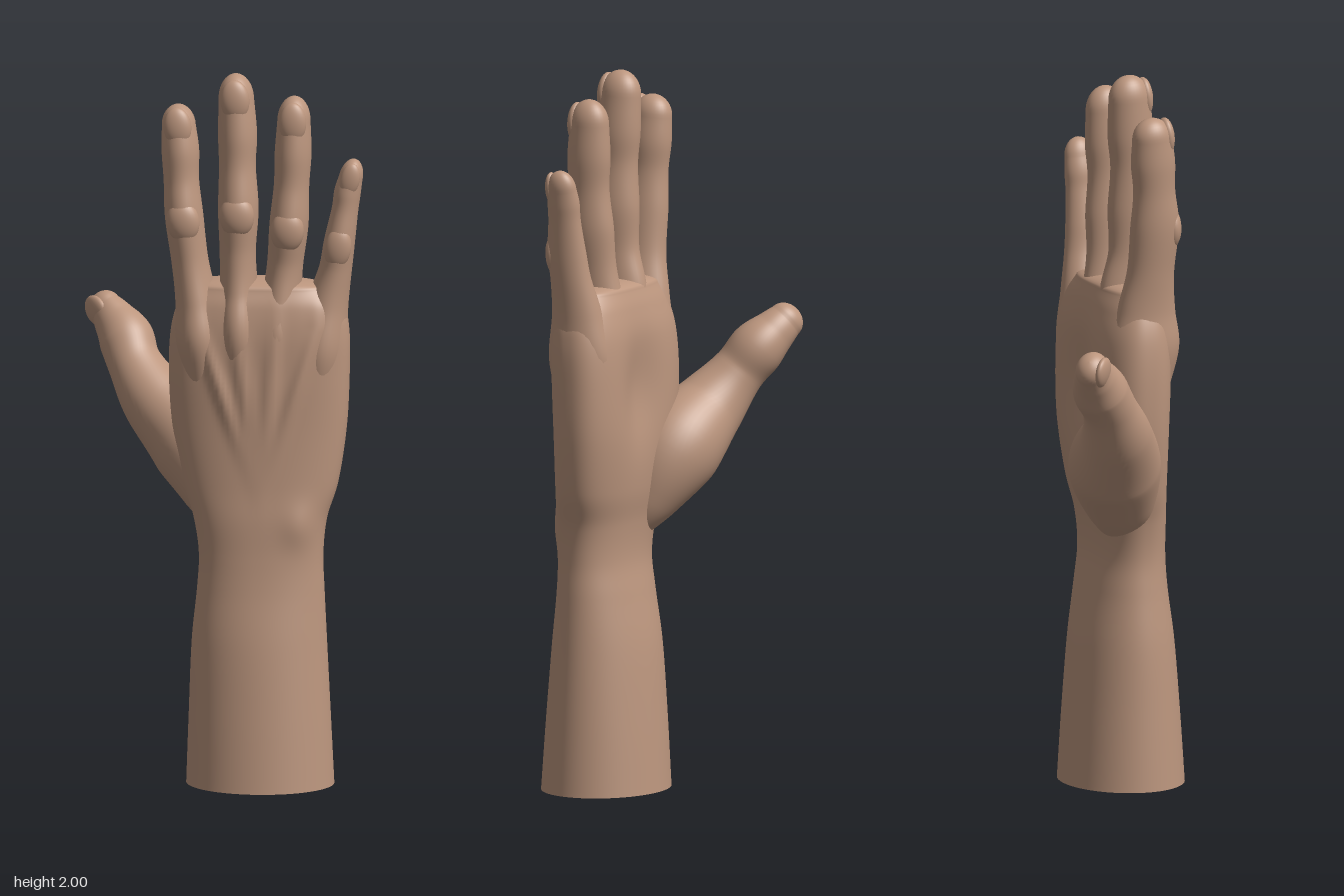
import * as THREE from 'three';

const skin = new THREE.MeshStandardMaterial({ color: 0xbc967e });
skin.name = 'skin';

const V = (x, y, z) => new THREE.Vector3(x, y, z);
const gauss = (d, w) => Math.exp(-(d * d) / (w * w));

// Local axes at one point of a path: across, along and towards the back of the hand
function frame(curve, t, across, fixedAxis) {
  const along = fixedAxis ? fixedAxis.clone() : curve.getTangent(t).normalize();
  const side = across.clone().addScaledVector(along, -across.dot(along)).normalize();
  return { centre: curve.getPoint(t), side, along, back: side.clone().cross(along) };
}

// Skin a row of sections [x, y, z, half width, half depth, squareness] and round off the end
function loft(sections, { across = V(1, 0, 0), axis, cap = 0.05, rings = 60, sides = 36, warp } = {}) {
  const path = new THREE.CatmullRomCurve3(sections.map(s => V(s[0], s[1], s[2])), false, 'catmullrom');
  const size = new THREE.CatmullRomCurve3(sections.map(s => V(s[3], s[4], s[5] ?? 2)), false, 'catmullrom');
  const pos = [], index = [], capRings = 10;
  for (let i = 0; i <= rings + capRings; i++) {
    const t = Math.min(i / rings, 1);
    const a = (Math.max(0, i - rings) / capRings) * Math.PI / 2;
    const f = frame(path, t, across, axis), r = size.getPoint(t);
    f.centre.addScaledVector(f.along, cap * Math.sin(a));
    for (let j = 0; j < sides; j++) {
      const b = (j / sides) * Math.PI * 2, e = 2 / r.z;
      const c = Math.cos(b), s = Math.sin(b);
      const p = f.centre.clone()
        .addScaledVector(f.side, Math.sign(c) * Math.abs(c) ** e * r.x * Math.cos(a))
        .addScaledVector(f.back, Math.sign(s) * Math.abs(s) ** e * r.y * Math.cos(a));
      if (warp) warp(p, s);
      pos.push(p.x, p.y, p.z);
      if (i < rings + capRings) {
        const q = i * sides + j, n = i * sides + (j + 1) % sides;
        index.push(q, q + sides, n, n, q + sides, n + sides);
      }
    }
  }
  const geo = new THREE.BufferGeometry();
  geo.setAttribute('position', new THREE.Float32BufferAttribute(pos, 3));
  geo.setIndex(index);
  geo.computeVertexNormals();
  return { geo, at: k => frame(path, k / (sections.length - 1), across, axis) };
}

function part(name, geo) {
  const mesh = new THREE.Mesh(geo, skin);
  mesh.name = name;
  return mesh;
}

// Flattened dome lying on the back of a finger: nails and knuckle folds
function dome(name, f, lift, w, h, d, slide = 0) {
  const mesh = part(name, new THREE.SphereGeometry(1, 28, 18));
  mesh.quaternion.setFromRotationMatrix(new THREE.Matrix4().makeBasis(f.side, f.along, f.back));
  mesh.position.copy(f.centre).addScaledVector(f.back, lift).addScaledVector(f.along, slide);
  mesh.scale.set(w, h, d);
  return mesh;
}

// One digit with its nail and middle knuckle
function digit(name, sections, knuckleAt, options) {
  const group = new THREE.Group();
  group.name = name;
  const { geo, at } = loft(sections, options);
  group.add(part(name + 'Flesh', geo));
  const last = sections.length - 1, [, , , w, d] = sections[last];
  group.add(dome(name + 'Nail', at(last), d * 0.72, w * 0.82, options.nail, d * 0.38));
  if (knuckleAt) {
    const [, , , kw, kd] = sections[knuckleAt];
    group.add(dome(name + 'Knuckle', at(knuckleAt), kd * 0.66, kw * 0.86, 0.06, kd * 0.42, -0.01));
  }
  return group;
}

// Forearm and palm outline: [y, x min, x max, z min, z max, squareness]
const arm = [
  [0, -0.09, 0.32, -0.075, 0.265, 2],
  [0.2, -0.083, 0.31, -0.062, 0.25, 2],
  [0.4, -0.075, 0.3, -0.045, 0.232, 2],
  [0.55, -0.06, 0.293, -0.02, 0.21, 2.1],
  [0.65, -0.055, 0.29, -0.005, 0.2, 2.2],
  [0.75, -0.07, 0.3, -0.01, 0.195, 2.3],
  [0.85, -0.1, 0.33, -0.028, 0.187, 2.4],
  [1.0, -0.13, 0.352, -0.045, 0.182, 2.5],
  [1.15, -0.14, 0.36, -0.045, 0.182, 2.6],
  [1.27, -0.135, 0.36, -0.036, 0.182, 2.6],
  [1.35, -0.115, 0.345, -0.015, 0.172, 2.6],
  [1.4, -0.085, 0.3, 0.005, 0.155, 2.5],
].map(([y, x0, x1, z0, z1, n]) => [(x0 + x1) / 2, y, (z0 + z1) / 2, (x1 - x0) / 2, (z1 - z0) / 2, n]);

// Tendons fanning over the back, wrist bone, and the hollow of the palm
function handRelief(p, s) {
  const { x, y } = p;
  if (s > 0) {
    const fan = THREE.MathUtils.clamp((y - 0.8) / 0.5, 0, 1);
    for (const k of [-0.05, 0.055, 0.165, 0.28]) {
      p.z += 0.014 * s * gauss(x - (0.12 + (k - 0.12) * fan), 0.02) * gauss(y - 1.14, 0.17);
    }
    p.z += 0.014 * s * gauss(x - 0.24, 0.05) * gauss(y - 0.74, 0.06);
  } else {
    p.z -= 0.035 * s * gauss(x - 0.13, 0.09) * gauss(y - 1.12, 0.16);
  }
}

const fingers = {
  indexFinger: [0.06, 0.055, 4, [
    [-0.045, 1.12, 0.09, 0.05, 0.07], [-0.052, 1.25, 0.09, 0.07, 0.1], [-0.063, 1.36, 0.09, 0.058, 0.084],
    [-0.08, 1.47, 0.095, 0.051, 0.068], [-0.096, 1.6, 0.1, 0.053, 0.07], [-0.104, 1.7, 0.095, 0.049, 0.06],
    [-0.107, 1.78, 0.09, 0.052, 0.063], [-0.112, 1.85, 0.085, 0.047, 0.057]]],
  middleFinger: [0.07, 0.058, 4, [
    [0.057, 1.12, 0.09, 0.045, 0.07], [0.057, 1.27, 0.095, 0.062, 0.103], [0.055, 1.39, 0.09, 0.053, 0.085],
    [0.053, 1.5, 0.1, 0.05, 0.068], [0.055, 1.62, 0.105, 0.056, 0.074], [0.052, 1.74, 0.1, 0.051, 0.062],
    [0.052, 1.83, 0.095, 0.054, 0.065], [0.048, 1.93, 0.09, 0.049, 0.06]]],
  ringFinger: [0.07, 0.058, 4, [
    [0.155, 1.12, 0.085, 0.045, 0.07], [0.163, 1.26, 0.088, 0.062, 0.1], [0.174, 1.37, 0.088, 0.054, 0.08],
    [0.184, 1.47, 0.092, 0.05, 0.066], [0.195, 1.58, 0.1, 0.054, 0.072], [0.202, 1.69, 0.098, 0.049, 0.06],
    [0.206, 1.78, 0.095, 0.051, 0.063], [0.208, 1.87, 0.092, 0.046, 0.057]]],
  littleFinger: [0.055, 0.048, 4, [
    [0.265, 1.08, 0.075, 0.05, 0.07], [0.282, 1.22, 0.075, 0.068, 0.094], [0.3, 1.35, 0.076, 0.058, 0.074],
    [0.322, 1.45, 0.082, 0.046, 0.06], [0.334, 1.53, 0.088, 0.043, 0.057], [0.349, 1.62, 0.086, 0.037, 0.048],
    [0.356, 1.67, 0.085, 0.037, 0.047], [0.365, 1.71, 0.085, 0.033, 0.043]]],
};

// Ball of the thumb, running out to the thumb tip
const thumb = [
  [0.04, 0.7, 0.08, 0.04, 0.05], [0.0, 0.8, 0.04, 0.09, 0.1], [-0.07, 0.93, -0.01, 0.13, 0.128],
  [-0.185, 1.04, -0.058, 0.1, 0.098], [-0.25, 1.13, -0.108, 0.075, 0.076], [-0.28, 1.195, -0.152, 0.077, 0.076],
  [-0.316, 1.24, -0.185, 0.062, 0.058], [-0.342, 1.268, -0.205, 0.052, 0.045],
];

export function createModel() {
  const hand = new THREE.Group();
  hand.name = 'hand';

  hand.add(part('forearmAndPalm', loft(arm, {
    axis: V(0, 1, 0), cap: 0.025, rings: 110, sides: 128, warp: handRelief,
  }).geo));

  // Flat cut at the bottom of the forearm
  const cut = part('forearmCut', new THREE.CircleGeometry(1, 64).rotateX(Math.PI / 2));
  cut.scale.set(0.205, 1, 0.17);
  cut.position.set(0.115, 0, 0.095);
  hand.add(cut);

  for (const [name, [cap, nail, knuckleAt, sections]] of Object.entries(fingers)) {
    hand.add(digit(name, sections, knuckleAt, { cap, nail }));
  }
  hand.add(digit('thumb', thumb, 0, { cap: 0.045, nail: 0.045, across: V(0.7, 0, 0.7), sides: 48 }));
  return hand;
}
